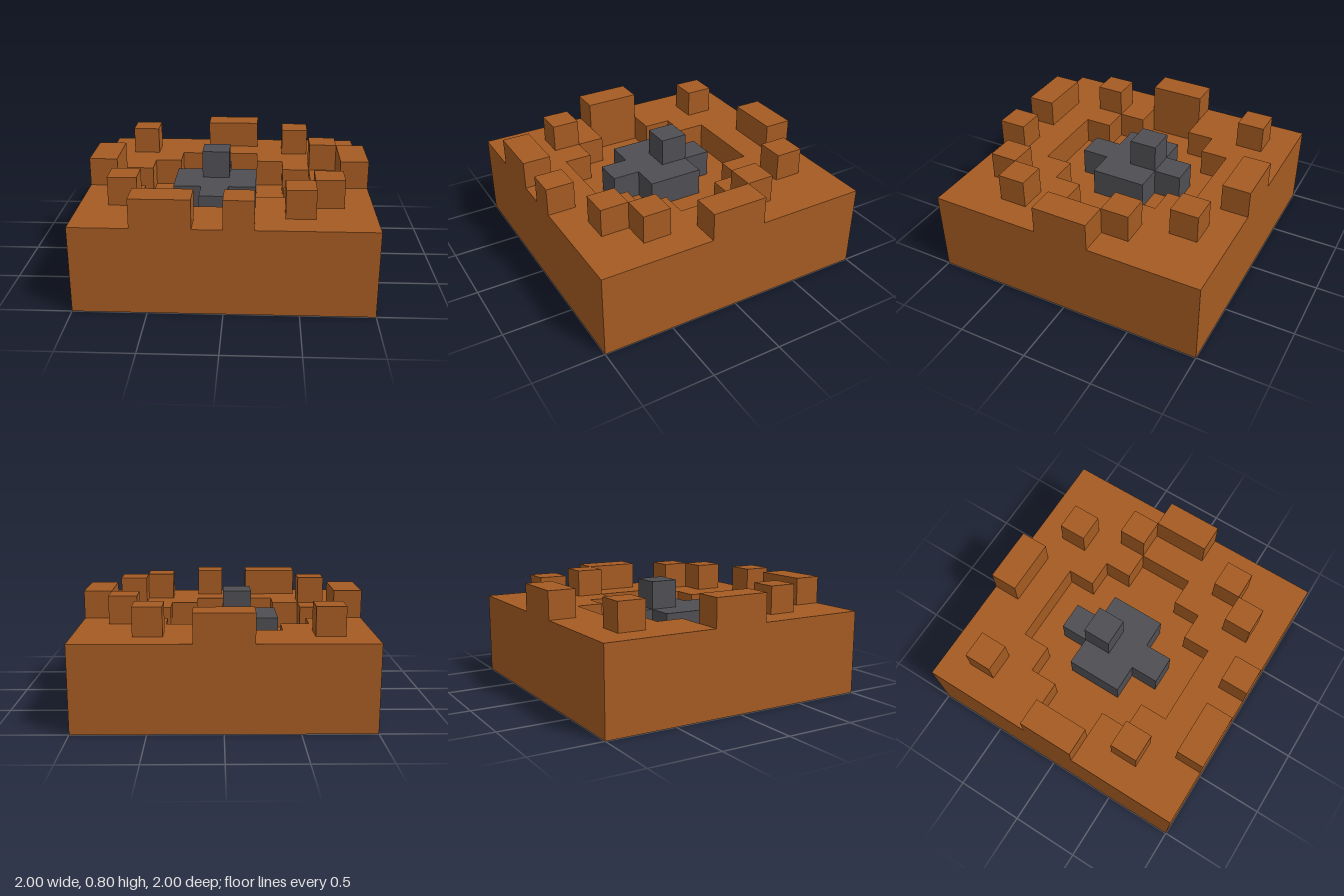
import * as THREE from 'three';

const U = 0.2; // one block; plan outlines are in block units as [x, z]
const soil = new THREE.MeshStandardMaterial({ color: 0xa55b22 });
soil.name = 'brown soil';
const stone = new THREE.MeshStandardMaterial({ color: 0x4f4e53 });
stone.name = 'dark grey stone';

const points = (list) => list.map(([x, z]) => new THREE.Vector2(x * U, z * U));
const rect = (x0, z0, x1, z1) => [[x0, z0], [x1, z0], [x1, z1], [x0, z1]];

// Slab with a plan outline and an optional hole, between two heights
function slab(name, material, outline, bottom, top, hole) {
  const shape = new THREE.Shape(points(outline));
  if (hole) shape.holes.push(new THREE.Path(points(hole)));
  const geometry = new THREE.ExtrudeGeometry(shape, { depth: (top - bottom) * U, bevelEnabled: false });
  geometry.rotateX(Math.PI / 2).translate(0, top * U, 0);
  const mesh = new THREE.Mesh(geometry, material);
  mesh.name = name;
  return mesh;
}

export function createModel() {
  const model = new THREE.Group();
  model.name = 'crater';
  const ground = rect(-5, -5, 5, 5);

  // Ground: solid lower layer with a shaft, upper layer with the stepped pit
  const shaft = rect(-1, 0, 0, 1);
  const pit = [
    [-2, -3], [1, -3], [1, -2], [2, -2], [2, -1], [3, -1], [3, 1], [2, 1], [2, 2], [1, 2],
    [1, 3], [-2, 3], [-2, 2], [-3, 2], [-3, 1], [-4, 1], [-4, -1], [-3, -1], [-3, -2], [-2, -2],
  ];
  model.add(slab('groundBase', soil, ground, 0, 2, shaft));
  model.add(slab('pitRim', soil, ground, 2, 3, pit));

  // Loose clods standing on the rim: x0, z0, x1, z1
  const clods = new THREE.Group();
  clods.name = 'clods';
  const spots = [
    [-1, -5, 1, -4], [-4, -4, -3, -3], [2, -4, 3, -3], [3, -2, 4, -1], [4, -1, 5, 1],
    [-5, -1, -4, 1], [-4, 2, -3, 3], [3, 2, 4, 3], [2, 3, 3, 4], [-3, 4, -1, 5], [0, 4, 1, 5],
  ];
  for (const s of spots) clods.add(slab('clod', soil, rect(...s), 3, 4));
  model.add(clods);

  // Stone in the pit: cross-shaped body, knob on top, root down the shaft
  const cross = [
    [-1, -2], [0, -2], [0, -1], [1, -1], [1, 1], [0, 1],
    [0, 2], [-1, 2], [-1, 1], [-2, 1], [-2, -1], [-1, -1],
  ];
  const rock = new THREE.Group();
  rock.name = 'rock';
  rock.add(
    slab('rockBody', stone, cross, 2, 3),
    slab('rockKnob', stone, rect(-1, -1, 0, 0), 3, 4),
    slab('rockRoot', stone, shaft, 0, 2),
  );
  model.add(rock);
  return model;
}
